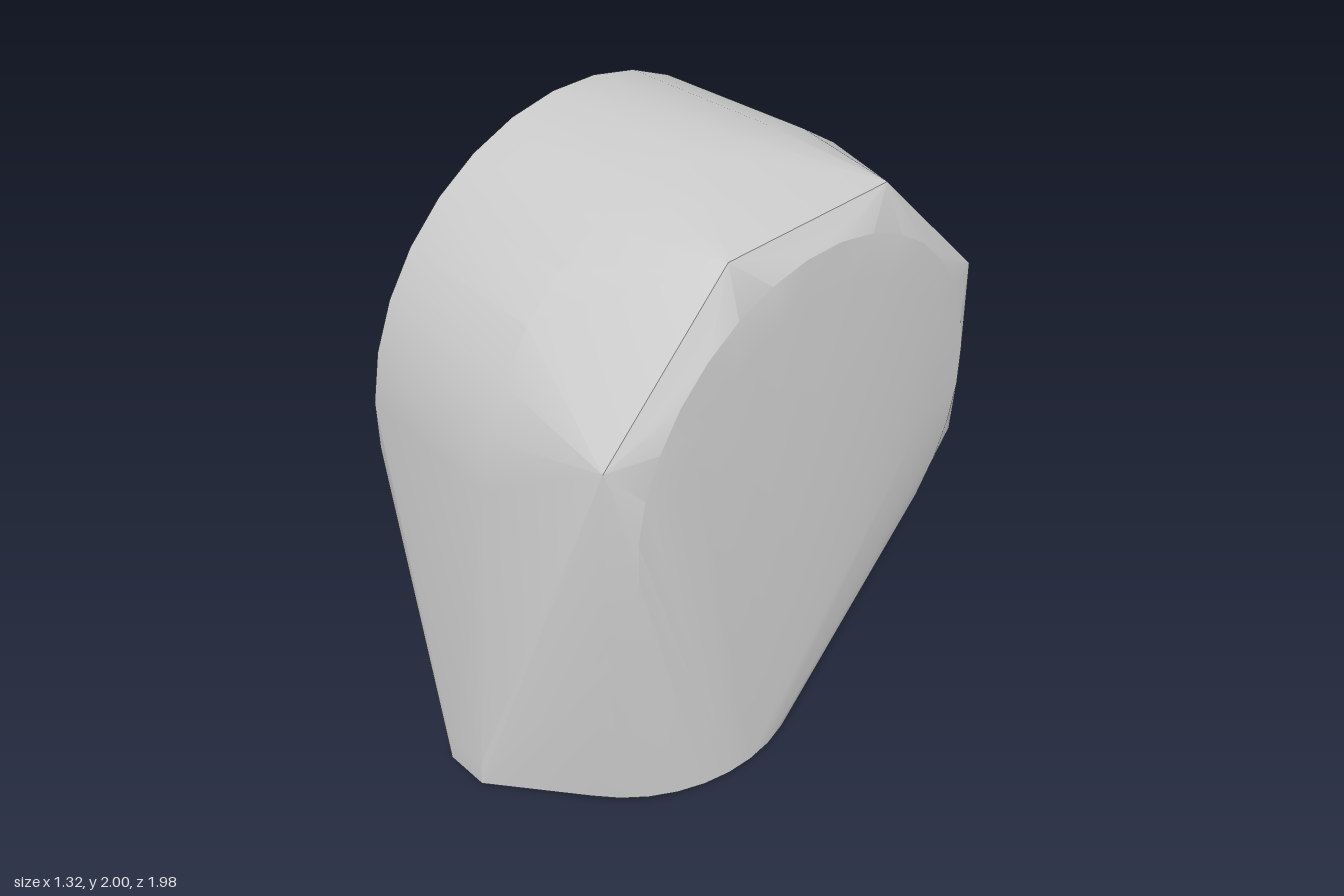
import * as THREE from 'three';
import { ConvexGeometry } from 'three/addons/geometries/ConvexGeometry.js';
import { toCreasedNormals } from 'three/addons/utils/BufferGeometryUtils.js';

const CY = 1.085, CZ = -0.065; // centre of the side rings

// Upright ring of points at a given x
function sideRing(x, ry, rz, n) {
  const k = 1 / Math.cos(Math.PI / n);
  return Array.from({ length: n }, (_, i) => {
    const a = ((i + 0.5) / n) * Math.PI * 2;
    return new THREE.Vector3(x, CY + Math.sin(a) * ry * k, CZ + Math.cos(a) * rz * k);
  });
}

// Flat ring of points for the round base
function baseRing(y, r, n) {
  return Array.from({ length: n }, (_, i) => {
    const a = (i / n) * Math.PI * 2;
    return new THREE.Vector3(0.05 + Math.sin(a) * r, y, 0.26 + Math.cos(a) * r);
  });
}

export function createModel() {
  const group = new THREE.Group();
  group.name = 'roundedBlock';

  const points = [
    // Bevelled side, then the broad round body
    ...sideRing(-0.66, 0.55, 0.525, 16),
    ...sideRing(-0.51, 0.91, 0.882, 32),
    ...sideRing(0.09, 0.915, 0.925, 32),
    // Octagonal shoulder and the gently domed side
    ...sideRing(0.515, 0.82, 0.82, 8),
    ...sideRing(0.575, 0.745, 0.745, 32),
    ...sideRing(0.59, 0.6, 0.6, 32),
    // Base disc with a thin bevel
    ...baseRing(0, 0.595, 40),
    ...baseRing(0.02, 0.61, 40),
  ];
  // Narrow front toe
  for (const x of [-0.03, 0.13]) {
    points.push(new THREE.Vector3(x, 0.02, 0.965));
    points.push(new THREE.Vector3(x, 0.04, 0.99));
    points.push(new THREE.Vector3(x, 0.13, 0.985));
  }

  const geometry = toCreasedNormals(new ConvexGeometry(points), 0.3);
  const body = new THREE.Mesh(geometry, new THREE.MeshStandardMaterial({ color: 0xcccccc }));
  body.name = 'body';
  group.add(body);
  return group;
}
